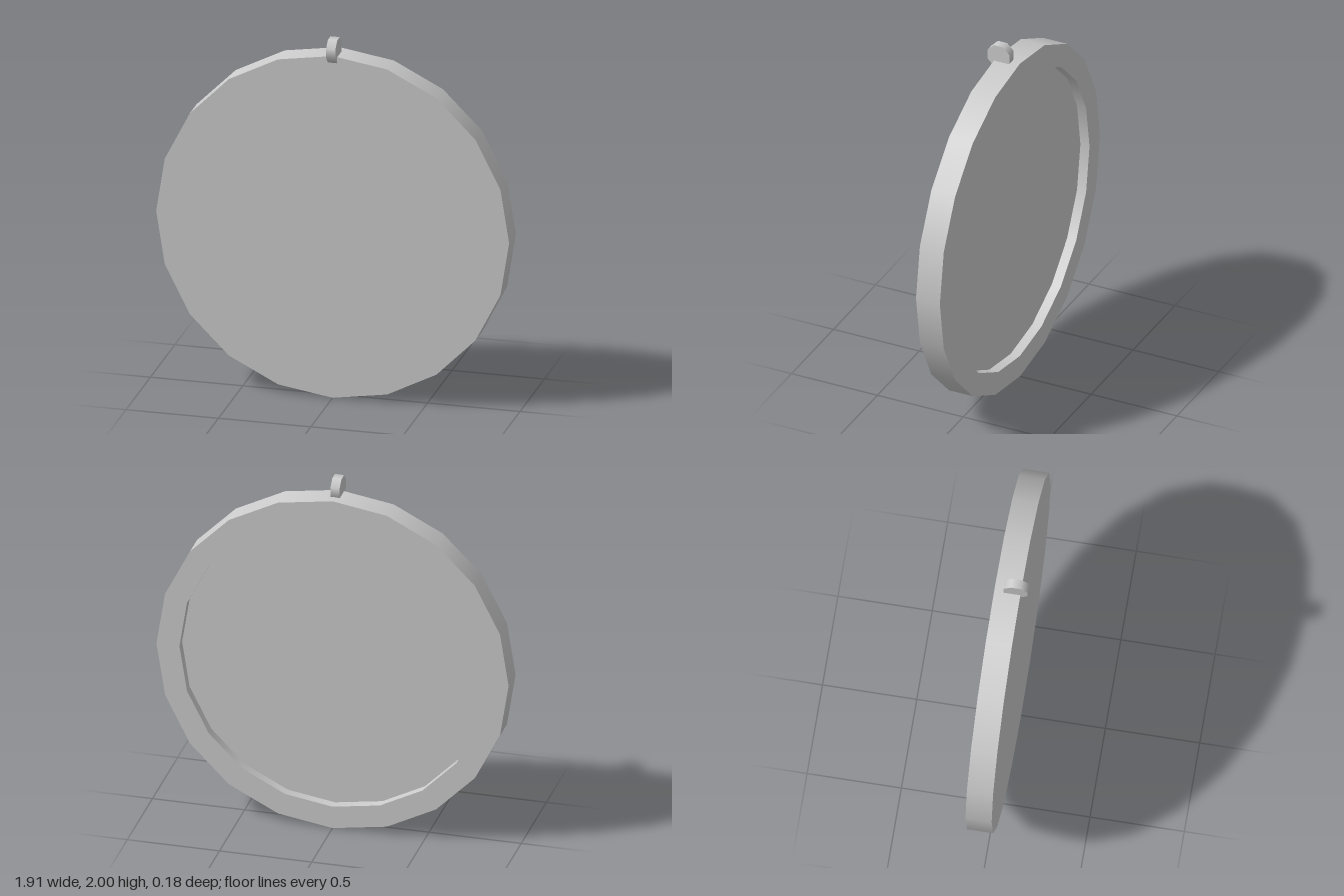
import * as THREE from 'three';

const SIDES = 20, OUTER = 0.955, INNER = 0.83;
const FRONT = 0.053, BACK = -0.086, FLOOR = -0.033;

export function createModel() {
  const group = new THREE.Group();
  const grey = new THREE.MeshStandardMaterial({ color: 0xcccccc });
  const inside = new THREE.MeshStandardMaterial({ color: 0xcccccc, side: THREE.BackSide });

  const add = (name, geometry, material = grey) => {
    const mesh = new THREE.Mesh(geometry, material);
    mesh.name = name;
    group.add(mesh);
    return mesh;
  };

  // Open band around the z axis, smooth around its sides
  const band = (radius, z0, z1) =>
    new THREE.CylinderGeometry(radius, radius, z1 - z0, SIDES, 1, true)
      .rotateX(Math.PI / 2)
      .translate(0, OUTER, (z0 + z1) / 2);

  // Disc body
  add('frontFace', new THREE.CircleGeometry(OUTER, SIDES).translate(0, OUTER, FRONT));
  add('outerWall', band(OUTER, BACK, FRONT));

  // Raised rim and recessed floor on the back
  add('backRim', new THREE.RingGeometry(INNER, OUTER, SIDES).rotateY(Math.PI).translate(0, OUTER, BACK));
  add('recessWall', band(INNER, BACK, FLOOR), inside);
  add('recessFloor', new THREE.CircleGeometry(INNER, SIDES).rotateY(Math.PI).translate(0, OUTER, FLOOR));

  // Small eight-sided hanging tab on top, flat side up
  const tab = add('hangingTab', new THREE.CylinderGeometry(0.069, 0.069, 0.05, 8)
    .rotateY(Math.PI / 8)
    .rotateZ(Math.PI / 2));
  tab.position.set(0, 1.936, 0.027);

  return group;
}
